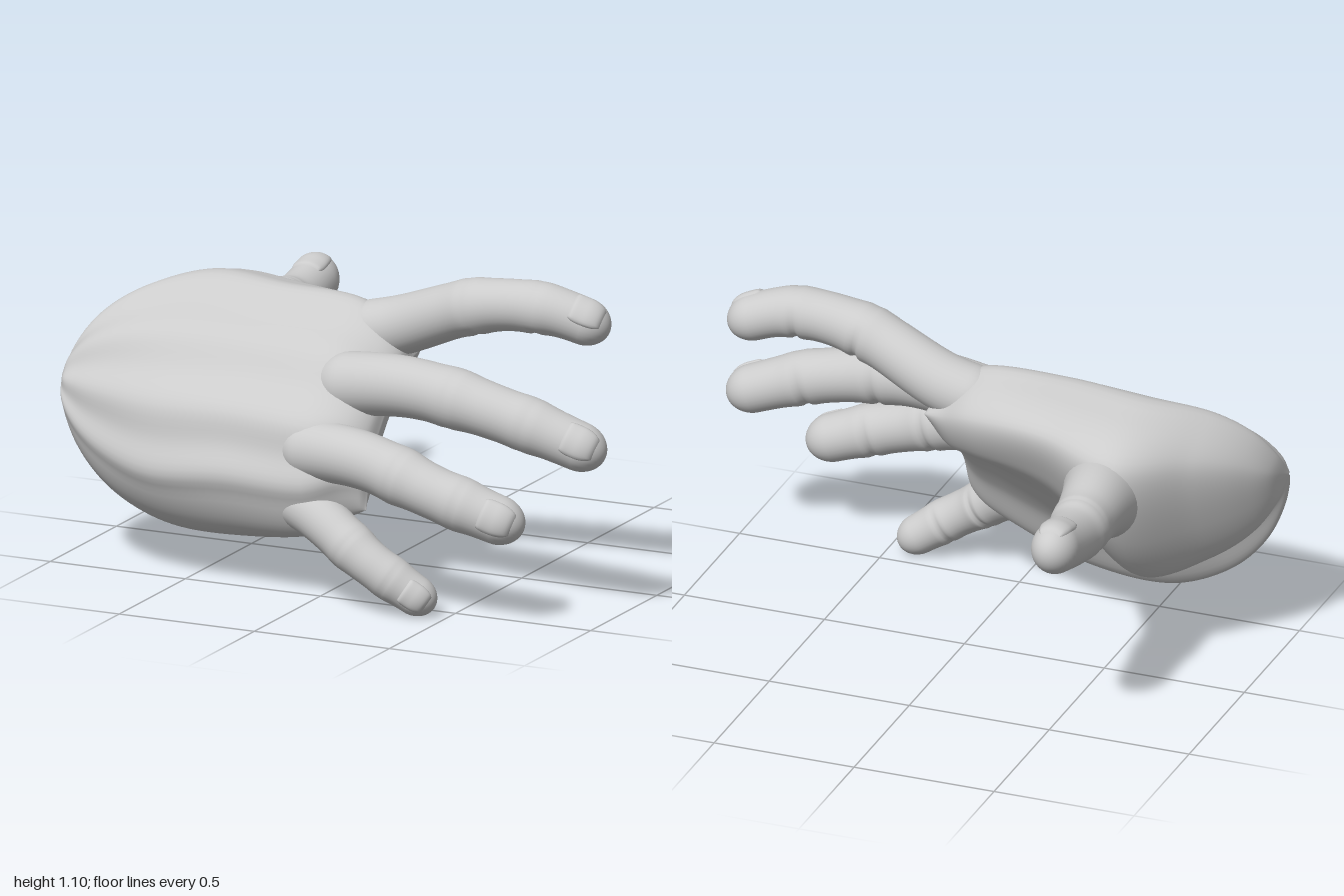
import * as THREE from 'three';
import { mergeVertices } from 'three/addons/utils/BufferGeometryUtils.js';

const V = (x, y, z) => new THREE.Vector3(x, y, z);
const { lerp, smoothstep } = THREE.MathUtils;

// Smooth surface from f(u, v); optionally closed around v
function surface(f, nu, nv, closed) {
  const pos = [], idx = [], cols = closed ? nv : nv + 1;
  for (let i = 0; i <= nu; i++)
    for (let j = 0; j < cols; j++) pos.push(...f(i / nu, j / nv).toArray());
  for (let i = 0; i < nu; i++)
    for (let j = 0; j < nv; j++) {
      const k = (j + 1) % cols;
      const a = i * cols + j, b = a + cols, c = i * cols + k, d = c + cols;
      idx.push(a, b, c, b, d, c);
    }
  const raw = new THREE.BufferGeometry();
  raw.setAttribute('position', new THREE.Float32BufferAttribute(pos, 3));
  raw.setIndex(idx);
  const g = mergeVertices(raw, 1e-5);
  g.computeVertexNormals();
  return g;
}

function mesh(name, geometry, side = THREE.FrontSide) {
  const m = new THREE.Mesh(geometry, new THREE.MeshStandardMaterial({ color: 0xcccccc, side }));
  m.name = name;
  return m;
}

// Digit: swept along a path, with swollen joints, creases, a rounded tip and a nail
function digit(name, path, { root, tip, up, joints, taper = 1, width = 1 }) {
  const curve = new THREE.CatmullRomCurve3(path);
  const cap = 1 - 1.15 * tip / curve.getLength();
  const bump = (t, c, w) => Math.exp(-(((t - c) / w) ** 2));
  const point = (t, a, off = 0) => {
    const c = curve.getPointAt(t), T = curve.getTangentAt(t);
    const side = T.clone().cross(up).normalize();
    const back = side.clone().cross(T);
    const sin = Math.sin(a);
    let r = lerp(tip, root, (1 - t) ** taper) * lerp(0.5, 1, smoothstep(t, 0, 0.16));
    for (const j of joints) {
      r *= 1 + 0.07 * bump(t, j, 0.05);
      r *= 1 - (sin < 0 ? -0.13 * sin * bump(t, j, 0.014) : 0.03 * sin * bump(t, j, 0.01));
    }
    if (t > cap) r *= Math.sqrt(Math.max(0, 1 - ((t - cap) / (1 - cap)) ** 2));
    r += off;
    return c.addScaledVector(side, Math.cos(a) * r * width).addScaledVector(back, sin * r);
  };
  // Rows bunch up towards the end so the dome stays round
  const row = s => (s < 0.8 ? s / 0.8 * cap : cap + (1 - cap) * Math.sin((s - 0.8) / 0.2 * Math.PI / 2));
  // Nail: raised patch with rounded corners that follows the fingertip
  const nail = (s, v) => {
    const p = s * 2 - 1, q = v * 2 - 1;
    const edge = Math.max(Math.abs(p), Math.abs(q));
    const round = Math.sqrt(1 - 0.5 * p ** 4 * q * q);
    const t = cap + (1 - cap) * lerp(-0.6, 0.72, s);
    return point(t, Math.PI / 2 + q * 0.82 * round, 0.007 - 0.014 * edge ** 10);
  };
  const g = new THREE.Group();
  g.name = name;
  g.add(mesh(name + 'Flesh', surface((s, v) => point(row(s), v * Math.PI * 2), 90, 32, true)));
  g.add(mesh(name + 'Nail', surface(nail, 20, 20, false), THREE.DoubleSide));
  return g;
}

// Palm: lofted along x through cross-sections given as [z, y], running from the
// thumb edge over the four tendons to the little-finger edge and back underneath
function palm() {
  const roots = [[0, .85], [.18, .95], [.4, .82], [.59, .62], [.64, .42],
    [.57, .25], [.46, .25], [.36, .42], [.2, .6], [.05, .7]];
  const middle = [[-.08, .88], [.17, .965], [.38, .83], [.57, .63], [.63, .42],
    [.54, .22], [.4, .18], [.28, .37], [.15, .5], [-.02, .69]];
  const heel = [[-.18, .85], [.12, .965], [.38, .83], [.55, .62], [.6, .4],
    [.5, .22], [.37, .18], [.23, .38], [.1, .33], [-.1, .54]];
  const scale = (sec, cz, cy, sz, sy) => sec.map(([z, y]) => [cz + (z - cz) * sz, cy + (y - cy) * sy]);
  // Finger end: shrink, then pinch the back and the underside together
  const web = (s, k) => scale(roots, .36, .62, s, s).map((p, i, all) =>
    p.map((c, n) => lerp(c, all[(10 - i) % 10][n], k)));
  // Wrist end: the heel shrinks to a dome
  const wrist = (sz, sy) => scale(heel, .41, .64, sz, sy);
  const sections = [[.18, web(.76, .5)], [.165, web(.78, .25)], [.11, web(.84, .05)],
    [0, roots], [-.3, middle], [-.6, heel], [-.8, wrist(.68, .82)],
    [-.92, wrist(.43, .56)], [-.98, wrist(.24, .28)], [-1, wrist(.01, .01)]];
  const rails = heel.map((_, i) =>
    new THREE.CatmullRomCurve3(sections.map(([x, s]) => V(x, s[i][1], s[i][0]))));
  let last = -1, ring;
  return mesh('palm', surface((u, v) => {
    if (u !== last) {
      ring = new THREE.CatmullRomCurve3(rails.map(r => r.getPoint(u)), true);
      last = u;
    }
    const p = ring.getPoint(v), k = v * 10;
    // Tendon ridges over the back of the hand
    if (k > 0.75 && k < 4.25) {
      const T = ring.getTangent(v);
      p.addScaledVector(V(0, T.z, -T.y), 0.011 * Math.sin(Math.PI * u) * Math.cos(k * Math.PI * 2));
    }
    return p;
  }, 90, 100, true));
}

export function createModel() {
  const hand = new THREE.Group();
  hand.name = 'hand';
  hand.add(palm());
  hand.add(digit('indexFinger',
    [V(-.12, .82, .18), V(.12, .88, .165), V(.45, 1, .215), V(.7, 1.02, .22), V(.915, .96, .18)],
    { root: .108, tip: .077, up: V(0, .75, .6), joints: [.54, .77] }));
  hand.add(digit('middleFinger',
    [V(-.12, .7, .36), V(.3, .75, .42), V(.68, .69, .43), V(1, .585, .39)],
    { root: .115, tip: .08, up: V(0, .55, .83), joints: [.52, .76] }));
  hand.add(digit('ringFinger',
    [V(-.17, .52, .5), V(.2, .53, .59), V(.5, .45, .615), V(.79, .355, .58)],
    { root: .108, tip: .08, up: V(.1, .35, .9), joints: [.54, .77] }));
  hand.add(digit('littleFinger',
    [V(-.22, .38, .48), V(0, .325, .56), V(.23, .19, .61), V(.455, .045, .57)],
    { root: .095, tip: .065, up: V(.1, .3, .9), joints: [.56, .78] }));
  hand.add(digit('thumb',
    [V(-.5, .66, .15), V(-.55, .73, -.2), V(-.565, .725, -.45), V(-.575, .785, -.72)],
    { root: .23, tip: .088, up: V(0, 1, -.15), joints: [.62], taper: 2.2, width: .9 }));
  return hand;
}
